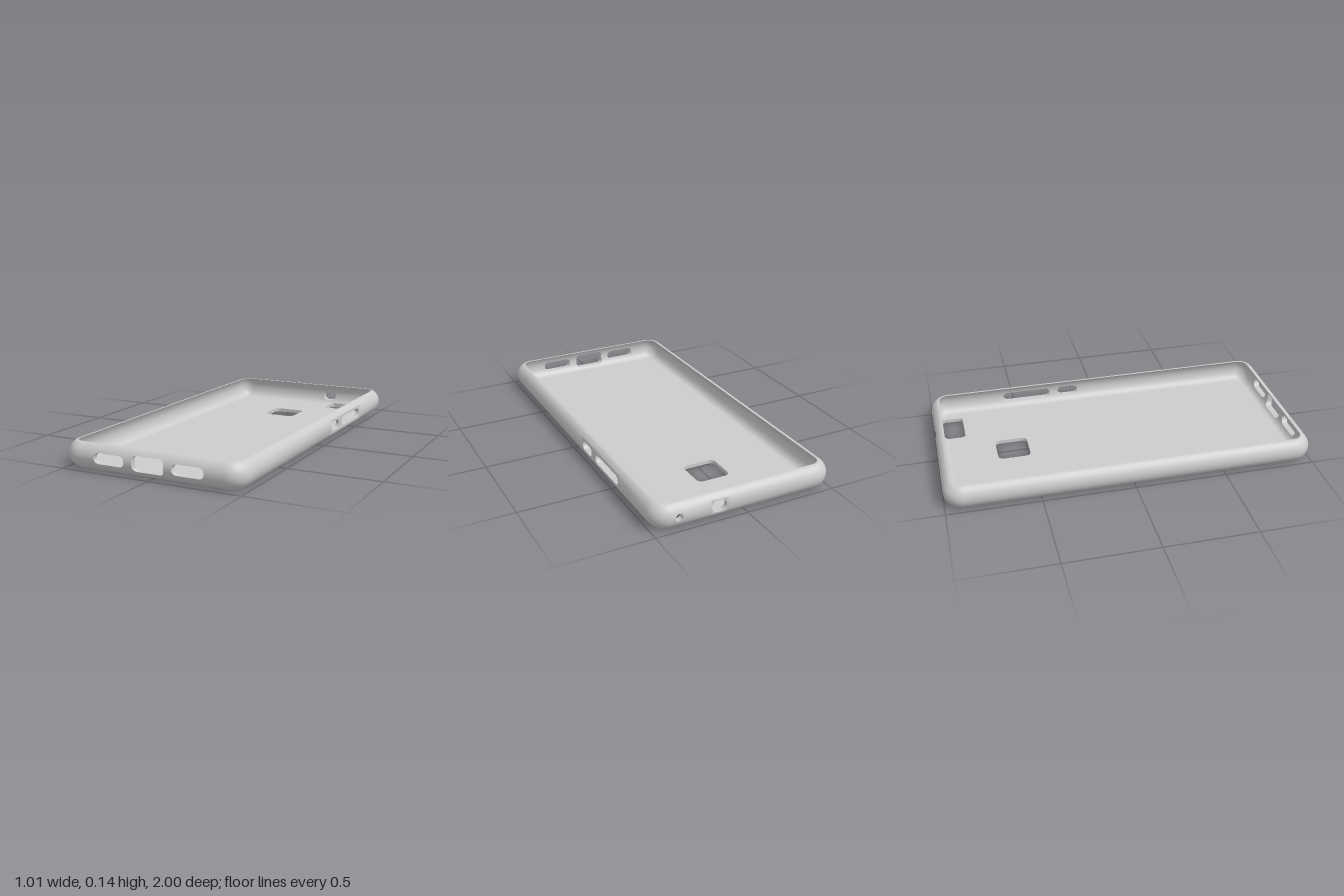
import * as THREE from 'three';
import { toCreasedNormals } from 'three/addons/utils/BufferGeometryUtils.js';

const HX = 0.505, HZ = 1, TOP = 0.14, MID = 0.075;
const R = 0.1;        // corner radius in plan
const FOOT = 0.075;   // inset where the wall meets the flat back plate
const FLOOR = 0.02;   // plate thickness
const EPS = 1e-5;

// Openings per side, along the direction of travel: start, end, half height, corner radius
const SIDES = [
  { n: [0, 1], half: HX, holes: [[-0.31, -0.135, 0.028, 0.028], [-0.09, 0.087, 0.04, 0.024], [0.131, 0.306, 0.028, 0.028]], dents: [] },
  { n: [1, 0], half: HZ, holes: [[0.12, 0.24, 0.026, 0.026], [0.29, 0.57, 0.026, 0.026]], dents: [[0.1, 0.595, 0.012]] },
  { n: [0, -1], half: HX, holes: [[-0.197, -0.115, 0.032, 0.032], [-0.395, -0.355, 0.02, 0.02]], dents: [[-0.215, -0.097, 0.01]],
    camera: [-0.385, -0.175, 0.053, 0.17, 0.022] },
  { n: [-1, 0], half: HZ, holes: [], dents: [] },
];

// How far a rounded corner pulls in at position s of the span a..b
function rounding(s, a, b, r) {
  const d = Math.max(0, Math.min(s - a, b - s));
  return d < r ? r - Math.sqrt(r * r - (r - d) ** 2) : 0;
}

// Wall cross-section: inset from the outermost line at height y
function outerInset(y) {
  return 0.075 * (1 - Math.sqrt(Math.max(0, 1 - ((y - MID) / 0.075) ** 2)));
}
function innerInset(y) {
  const k = (y - 0.085) / 0.065;
  return k > 0 ? 0.03 + 0.028 * k * k : 0.03 + 0.045 * (1 - Math.sqrt(Math.max(0, 1 - k * k)));
}
// Heights at which the lower curves reach a given inset
const outerFoot = (c) => 0.075 - 0.075 * Math.sqrt(Math.max(0, 1 - (1 - c / 0.075) ** 2));
const innerFoot = (c) => 0.085 - 0.065 * Math.sqrt(Math.max(0, 1 - (1 - (c - 0.03) / 0.045) ** 2));

// Stations around the case, carrying the opening bounds at each place
function makeStations() {
  const list = [];
  for (const { n, half, holes, dents, camera } of SIDES) {
    const t = [n[1], -n[0]];
    const dist = n[0] ? HX : HZ;
    const end = half - R;
    const marks = [-end, end];
    const addSpan = (a, b, r) => {
      marks.push(a, a + EPS, b - EPS, b);
      for (let k = 1; k <= 8; k++) {
        const d = r * (1 - Math.cos((k / 8) * Math.PI / 2));
        marks.push(a + d, b - d);
      }
    };
    holes.forEach(([a, b, , r]) => addSpan(a, b, r));
    dents.forEach(([a, b]) => marks.push(a, a + 0.02, b - 0.02, b));
    if (camera) addSpan(camera[0], camera[1], camera[4]);
    marks.sort((a, b) => a - b);

    marks.forEach((s, i) => {
      if (i && s - marks[i - 1] < EPS / 2) return;
      const st = { p: [n[0] * dist + t[0] * s, n[1] * dist + t[1] * s], n, lo: MID, hi: MID, cut: FOOT, plate: FOOT, dent: 0 };
      for (const [a, b, h, r] of holes) {
        if (s <= a + EPS / 2 || s >= b - EPS / 2) continue;
        const open = h - rounding(s, a, b, r);
        st.lo = MID - open;
        st.hi = MID + open;
      }
      for (const [a, b, depth] of dents) {
        const k = Math.min(s - a, b - s) / 0.02;
        st.dent = Math.max(st.dent, depth * Math.min(1, Math.max(0, k)));
      }
      if (camera && s > camera[0] + EPS / 2 && s < camera[1] - EPS / 2) {
        const [a, b, near, far, r] = camera;
        const pull = rounding(s, a, b, r);
        st.cut = Math.min(FOOT, near + pull);
        st.plate = far - pull;
      }
      list.push(st);
    });

    // Rounded corner to the next side
    const last = list[list.length - 1];
    const c = [last.p[0] - n[0] * R, last.p[1] - n[1] * R];
    for (let k = 1; k < 12; k++) {
      const a = (k / 12) * Math.PI / 2;
      const m = [n[0] * Math.cos(a) + t[0] * Math.sin(a), n[1] * Math.cos(a) + t[1] * Math.sin(a)];
      list.push({ p: [c[0] + m[0] * R, c[1] + m[1] * R], n: m, lo: MID, hi: MID, cut: FOOT, plate: FOOT, dent: 0 });
    }
  }
  return list;
}

const place = (st, inset, y) => [st.p[0] - st.n[0] * inset, y, st.p[1] - st.n[1] * inset];
const outer = (st, y) => place(st, Math.max(outerInset(y), st.dent), y);
const inner = (st, y) => place(st, innerInset(y), y);

function wallGeometry(stations) {
  const pos = [];
  const quad = (a, b, c, d) => pos.push(...a, ...b, ...c, ...a, ...c, ...d);
  const ROWS = 12;
  // Height of a row in the strip below or above the openings
  const low = (from, st, k) => from + (st.lo - from) * (1 - Math.cos((k / ROWS) * Math.PI / 2));
  const high = (st, k) => st.hi + (TOP - st.hi) * (k / ROWS);

  stations.forEach((a, i) => {
    const b = stations[(i + 1) % stations.length];
    const gap = Math.hypot(a.p[0] - b.p[0], a.p[1] - b.p[1]);
    if (gap > 2 * EPS) {
      for (let k = 0; k < ROWS; k++) {
        const oa = outerFoot(a.cut), ob = outerFoot(b.cut), ia = innerFoot(a.cut), ib = innerFoot(b.cut);
        quad(outer(a, low(oa, a, k)), outer(b, low(ob, b, k)), outer(b, low(ob, b, k + 1)), outer(a, low(oa, a, k + 1)));
        quad(inner(b, low(ib, b, k)), inner(a, low(ia, a, k)), inner(a, low(ia, a, k + 1)), inner(b, low(ib, b, k + 1)));
        quad(outer(a, high(a, k)), outer(b, high(b, k)), outer(b, high(b, k + 1)), outer(a, high(a, k + 1)));
        quad(inner(b, high(b, k)), inner(a, high(a, k)), inner(a, high(a, k + 1)), inner(b, high(b, k + 1)));
      }
      // Top lip
      quad(outer(a, TOP), outer(b, TOP), inner(b, TOP), inner(a, TOP));
      // Camera opening edge in the lower fillet
      if (a.cut < FOOT || b.cut < FOOT) {
        quad(outer(b, outerFoot(b.cut)), outer(a, outerFoot(a.cut)), inner(a, innerFoot(a.cut)), inner(b, innerFoot(b.cut)));
      }
    }
    // Edges of the side openings
    if (a.hi > a.lo || b.hi > b.lo) {
      quad(outer(a, a.lo), outer(b, b.lo), inner(b, b.lo), inner(a, a.lo));
      quad(outer(b, b.hi), outer(a, a.hi), inner(a, a.hi), inner(b, b.hi));
    }
  });
  const geo = new THREE.BufferGeometry();
  geo.setAttribute('position', new THREE.Float32BufferAttribute(pos, 3));
  // Enlarged while the normals are made, so that close points stay apart
  geo.scale(100, 100, 100);
  return toCreasedNormals(geo, 0.6).scale(0.01, 0.01, 0.01);
}

function roundedHole(x, y, w, h, r) {
  const path = new THREE.Path();
  const a = w / 2 - r, b = h / 2 - r;
  path.absarc(x + a, y + b, r, 0, Math.PI / 2);
  path.absarc(x - a, y + b, r, Math.PI / 2, Math.PI);
  path.absarc(x - a, y - b, r, Math.PI, Math.PI * 1.5);
  path.absarc(x + a, y - b, r, Math.PI * 1.5, Math.PI * 2);
  path.closePath();
  return path;
}

function plateGeometry(stations) {
  const shape = new THREE.Shape(stations.map((st) => {
    const [x, , z] = place(st, st.plate, 0);
    return new THREE.Vector2(x, -z);
  }));
  shape.holes.push(roundedHole(-0.003, 0.585, 0.185, 0.18, 0.03)); // fingerprint sensor opening
  return new THREE.ExtrudeGeometry(shape, { depth: FLOOR, bevelEnabled: false, curveSegments: 8 }).rotateX(-Math.PI / 2);
}

export function createModel() {
  const group = new THREE.Group();
  group.name = 'phoneCase';
  const material = new THREE.MeshStandardMaterial({ color: 0xcccccc });
  const stations = makeStations();
  const wall = new THREE.Mesh(wallGeometry(stations), material);
  wall.name = 'sideWall';
  const plate = new THREE.Mesh(plateGeometry(stations), material);
  plate.name = 'backPlate';
  group.add(wall, plate);
  return group;
}
